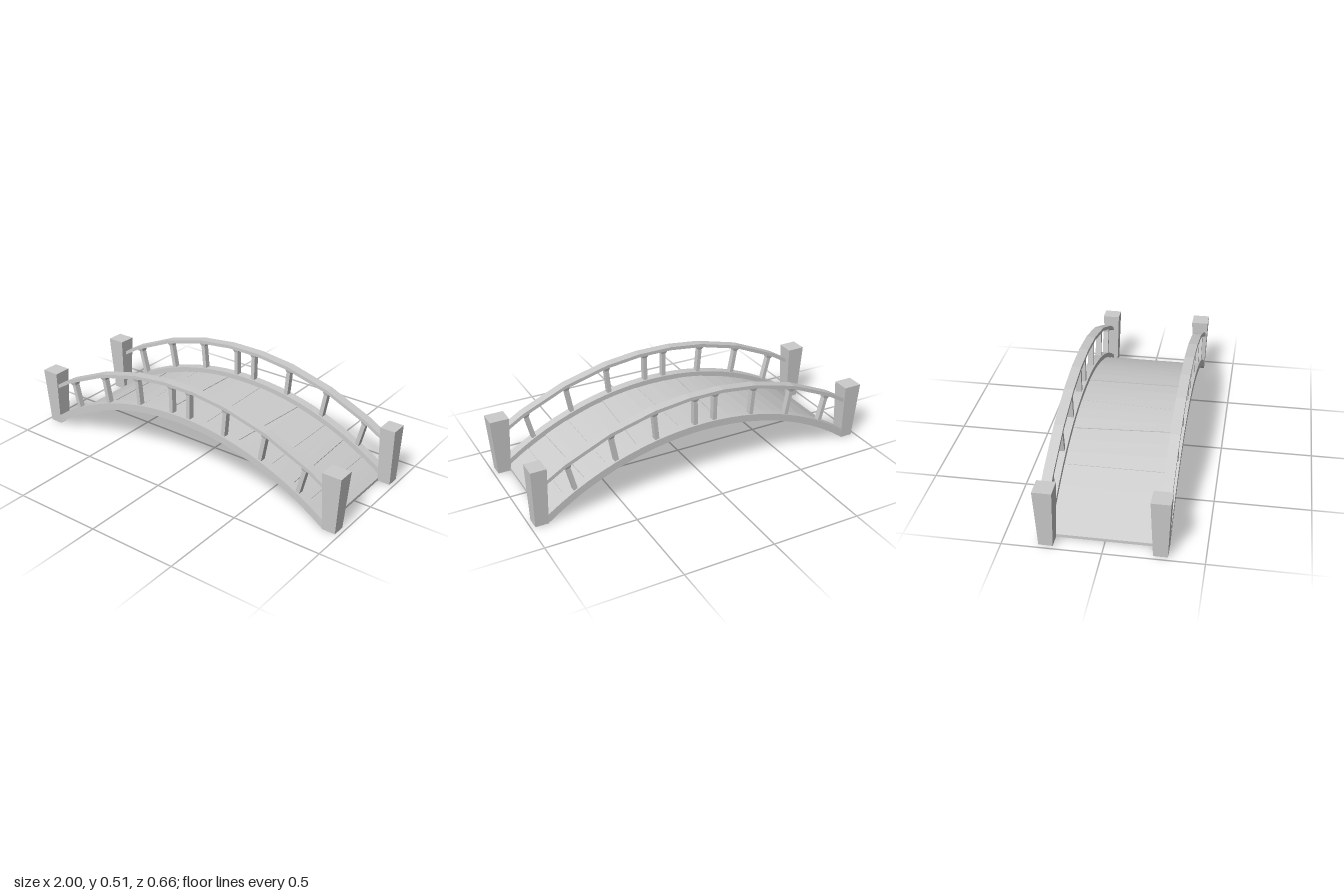
import * as THREE from 'three';
import { toCreasedNormals } from 'three/addons/utils/BufferGeometryUtils.js';

const material = new THREE.MeshStandardMaterial({ color: 0xcccccc, flatShading: false });

// Arc centres (height) and radii of the deck and the handrail
const DECK_Y = -1.23, UNDER = 1.53, PLANK_TOP = 1.543, CURB_TOP = 1.57;
const RAIL_Y = -1.185, RAIL_TOP = 1.7, RAIL_UNDER = 1.681;
const END = 0.908;

const arcY = (x, cy, r) => cy + Math.sqrt(r * r - x * x);
const steps = (a, b, n) => Array.from({ length: n + 1 }, (_, i) => a + (b - a) * i / n);

// Curved strip between two radii, cut vertically at its ends, from z0 to z1
function archStrip(xs, cy, inner, outer, z0, z1) {
  const top = xs.map(x => new THREE.Vector2(x, arcY(x, cy, outer)));
  const bottom = xs.map(x => new THREE.Vector2(x, arcY(x, cy, inner))).reverse();
  const geo = new THREE.ExtrudeGeometry(new THREE.Shape([...bottom, ...top]), { depth: z1 - z0, bevelEnabled: false });
  return geo.translate(0, 0, z0);
}

// Six-sided block with its own bottom and top rectangle [x0, x1, z0, z1]
function taperedBlock(bottom, top, y0, y1) {
  const geo = new THREE.BoxGeometry(1, 1, 1);
  const p = geo.attributes.position;
  for (let i = 0; i < p.count; i++) {
    const up = p.getY(i) > 0, r = up ? top : bottom;
    p.setXYZ(i, p.getX(i) > 0 ? r[1] : r[0], up ? y1 : y0, p.getZ(i) > 0 ? r[3] : r[2]);
  }
  geo.computeVertexNormals();
  return geo;
}

export function createModel() {
  const model = new THREE.Group();
  const add = (name, geo, parent = model) => {
    const mesh = new THREE.Mesh(geo, material);
    mesh.name = name;
    parent.add(mesh);
    return mesh;
  };

  // Smooth underside slab
  add('deckBase', toCreasedNormals(archStrip(steps(-END, END, 40), DECK_Y, UNDER, UNDER + 0.009, -0.275, 0.275), 0.5));

  // Planks: [edge position, skew across the width]
  const edges = [[-END, 0], [-0.57, 0], [-0.325, 0.05], [-0.12, -0.05], [0.12, 0.01], [0.355, -0.07],
    [0.55, 0], [0.68, 0.03], [0.79, 0], [END, 0]];
  const planks = new THREE.Group();
  planks.name = 'planks';
  model.add(planks);
  for (let i = 0; i < edges.length - 1; i++) {
    const [xa, sa] = edges[i], [xb, sb] = edges[i + 1];
    const gapA = i ? 0.002 : 0, gapB = i < edges.length - 2 ? 0.002 : 0;
    const lift = (i % 2) * 0.002;
    const geo = archStrip(steps(xa + gapA, xb - gapB, 3), DECK_Y, UNDER + 0.004, PLANK_TOP - lift, -0.272, 0.272);
    const p = geo.attributes.position;
    // Slide each vertex along the arch so that the joints run slightly askew
    for (let k = 0; k < p.count; k++) {
      const x = p.getX(k), r = Math.hypot(x, p.getY(k) - DECK_Y);
      const nx = x + THREE.MathUtils.lerp(sa, sb, (x - xa) / (xb - xa)) * p.getZ(k);
      p.setXY(k, nx, arcY(nx, DECK_Y, r));
    }
    geo.computeVertexNormals();
    add('plank', geo, planks);
  }

  // Baluster foot x and head x for one half
  const balusters = [[0.057, 0.06], [0.283, 0.298], [0.513, 0.543], [0.745, 0.785]];
  const railXs = [-0.94, -0.8, -0.55, -0.3, -0.1, 0.1, 0.3, 0.55, 0.8, 0.94];

  for (const side of [1, -1]) {
    const rail = new THREE.Group();
    rail.name = side > 0 ? 'frontRailing' : 'backRailing';
    model.add(rail);
    const zc = side * 0.294;

    add('curb', toCreasedNormals(archStrip(steps(-END, END, 24), DECK_Y, UNDER, CURB_TOP, zc - 0.025, zc + 0.025), 0.5), rail);
    add('handrail', archStrip(railXs, RAIL_Y, RAIL_UNDER, RAIL_TOP, zc - 0.026, zc + 0.026), rail);

    for (const end of [1, -1]) for (const [foot, head] of balusters) {
      // Leaning bar with a flared bracket below the handrail
      const y0 = arcY(foot, DECK_Y, CURB_TOP) - 0.012, y1 = arcY(head, RAIL_Y, RAIL_UNDER) + 0.001;
      const length = Math.hypot(head - foot, y1 - y0);
      const bar = new THREE.Group();
      bar.name = 'baluster';
      bar.position.set(end * foot, y0, zc);
      bar.rotation.z = -end * Math.atan2(head - foot, y1 - y0);
      rail.add(bar);
      const w = 0.0115, d = 0.016;
      add('bar', taperedBlock([-w, w, -d, d], [-w, w, -d, d], 0, length), bar);
      const bracket = add('bracket', taperedBlock([-w, w, -d, d], [-0.024, 0.024, -0.022, 0.022], -0.02, 0.002), bar);
      bracket.position.y = length;
      bracket.rotation.z = -end * 0.6 * (Math.asin(head / RAIL_TOP) - Math.atan2(head - foot, y1 - y0));
    }
  }

  // Corner posts, wider at the top: [x side, z side, top outer x, top inner x]
  for (const [sx, sz, outer, inner] of [[1, 1, 1, 0.893], [1, -1, 0.986, 0.9], [-1, 1, 0.998, 0.897], [-1, -1, 1, 0.898]]) {
    const rect = (a, b, c, d) => [Math.min(sx * a, sx * b), Math.max(sx * a, sx * b), Math.min(sz * c, sz * d), Math.max(sz * c, sz * d)];
    const post = taperedBlock(rect(0.906, 0.978, 0.246, 0.318), rect(inner, outer, 0.234, 0.331), 0, 0.327);
    add((sz > 0 ? 'front' : 'back') + (sx > 0 ? 'Left' : 'Right') + 'Post', post);
  }
  return model;
}
